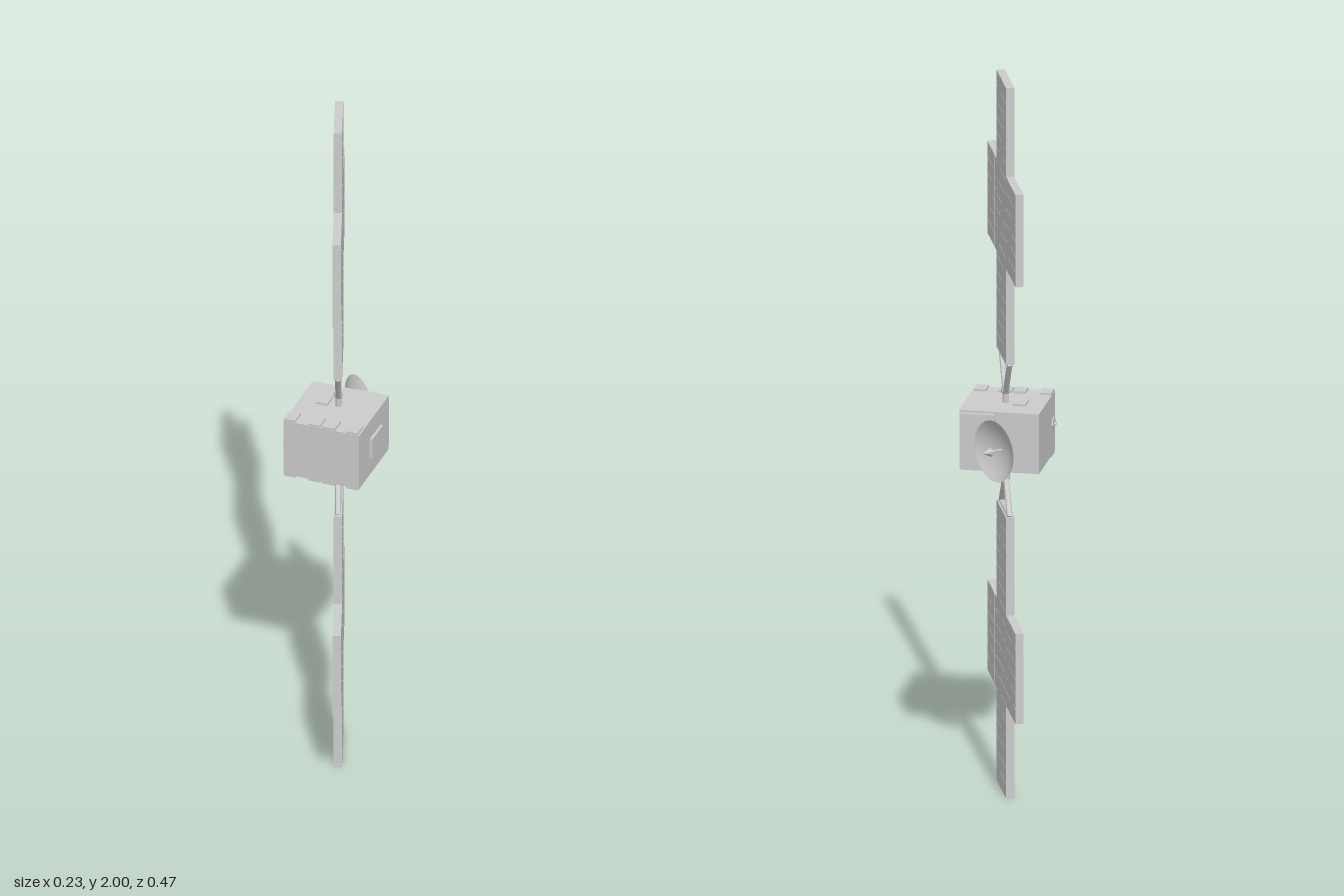
import * as THREE from 'three';
import { mergeGeometries } from 'three/addons/utils/BufferGeometryUtils.js';

const grey = new THREE.MeshStandardMaterial({ color: 0xcccccc, flatShading: true });
const smooth = new THREE.MeshStandardMaterial({ color: 0xcccccc, side: THREE.DoubleSide });

function add(parent, name, geometry, x = 0, y = 0, z = 0, material = grey) {
  const mesh = new THREE.Mesh(geometry, material);
  mesh.name = name;
  mesh.position.set(x, y, z);
  parent.add(mesh);
  return mesh;
}

// Box given by its extents along each axis
function block(parent, name, [x0, x1], [y0, y1], [z0, z1]) {
  return add(parent, name, new THREE.BoxGeometry(x1 - x0, y1 - y0, z1 - z0),
    (x0 + x1) / 2, (y0 + y1) / 2, (z0 + z1) / 2);
}

// Square bar between two points
function bar(parent, name, a, b, r) {
  const from = new THREE.Vector3(...a), to = new THREE.Vector3(...b);
  const dir = to.clone().sub(from);
  const geometry = new THREE.CylinderGeometry(r, r, dir.length(), 8);
  const mesh = add(parent, name, geometry);
  mesh.position.copy(from).add(to).multiplyScalar(0.5);
  mesh.quaternion.setFromUnitVectors(new THREE.Vector3(0, 1, 0), dir.normalize());
  return mesh;
}

// Solar array: cross-shaped slab, shallow cells on +z, and a forked yoke to the body
function solarArray(name, root, tip, wing0, wing1, apex, bodyY) {
  const group = new THREE.Group();
  group.name = name;
  const s = 0.083, w = 0.248, t = 0.022;
  const shape = new THREE.Shape([
    [-s, root], [s, root], [s, wing0], [w, wing0], [w, wing1], [s, wing1],
    [s, tip], [-s, tip], [-s, wing1], [-w, wing1], [-w, wing0], [-s, wing0],
  ].map(([x, y]) => new THREE.Vector2(x, y)));
  const slab = new THREE.ExtrudeGeometry(shape, { depth: t, bevelEnabled: false });
  add(group, 'panel', slab, 0, 0, -t / 2);

  // Solar cells laid out in a regular grid over the spine and both wings
  const cells = [];
  const fill = (x0, x1, y0, y1, nx, ny) => {
    const dx = (x1 - x0) / nx, dy = (y1 - y0) / ny;
    for (let i = 0; i < nx; i++) for (let j = 0; j < ny; j++) {
      cells.push(new THREE.BoxGeometry(dx - 0.002, Math.abs(dy) - 0.002, 0.001)
        .translate(x0 + (i + 0.5) * dx, y0 + (j + 0.5) * dy, t / 2));
    }
  };
  fill(-s, s, root, tip, 4, 18);
  for (const side of [-1, 1]) {
    const x0 = side < 0 ? -w : s;
    fill(x0, x0 + w - s, wing0, wing1, 4, 6);
  }
  add(group, 'solarCells', mergeGeometries(cells));

  // Yoke
  const r = 0.008;
  for (const side of [-1, 1]) bar(group, 'yokeArm', [side * 0.074, root, 0], [side * 0.006, apex, 0], r);
  bar(group, 'yokeCrossbar', [-0.074, root, 0], [0.074, root, 0], r);
  add(group, 'yokeJoint', new THREE.SphereGeometry(0.013, 12, 8), 0, apex, 0);
  bar(group, 'yokeStem', [0, apex, 0], [0, bodyY, 0], r);
  group.rotation.y = THREE.MathUtils.degToRad(110);
  return group;
}

export function createModel() {
  const model = new THREE.Group();
  model.name = 'satellite';

  // Body with equipment panels
  const body = new THREE.Group();
  body.name = 'body';
  model.add(body);
  block(body, 'bus', [-0.11, 0.108], [0.922, 1.09], [-0.093, 0.125]);
  block(body, 'backPlate', [0.01, 0.105], [0.928, 1.084], [-0.105, -0.093]);
  block(body, 'leftPlate', [0.108, 0.116], [0.975, 1.035], [-0.033, 0.047]);

  // Small tiles on the top and underside
  const tiles = [[-0.06, -0.027, -0.03, 0.013], [-0.109, -0.077, 0.081, 0.124],
    [-0.038, -0.005, 0.081, 0.124], [0, 0.038, 0.081, 0.124], [0.07, 0.103, 0.081, 0.124]];
  for (const [x0, x1, z0, z1] of tiles) {
    block(body, 'topTile', [x0, x1], [1.09, 1.096], [z0, z1]);
    block(body, 'bottomTile', [x0, x1], [0.916, 0.922], [z0, z1]);
  }

  // Side sensor
  bar(body, 'sensorBase', [-0.11, 1.005, 0.1], [-0.113, 1.005, 0.1], 0.02);
  bar(body, 'sensor', [-0.113, 1.005, 0.1], [-0.119, 1.005, 0.1], 0.005);

  // Dish antenna, opening toward the back left
  const dish = new THREE.Group();
  dish.name = 'dishAntenna';
  dish.position.set(0, 1, -0.16);
  dish.quaternion.setFromUnitVectors(new THREE.Vector3(0, 1, 0),
    new THREE.Vector3(0.65, 0, -0.76).normalize());
  model.add(dish);
  const profile = [];
  for (let i = 0; i <= 8; i++) {
    const u = i / 8;
    profile.push(new THREE.Vector2(0.085 * u, 0.026 * (u * u - 1)));
  }
  add(dish, 'reflector', new THREE.LatheGeometry(profile, 32), 0, 0, 0, smooth);
  bar(dish, 'feedStem', [0, -0.026, 0], [0, 0.012, 0], 0.003);
  const feed = [[0, 0.004], [0.012, 0.012], [0, 0.038]].map(p => new THREE.Vector2(...p));
  add(dish, 'feedHorn', new THREE.LatheGeometry(feed, 8), 0, 0, 0, smooth);
  bar(model, 'dishMount', [-0.029, 1, -0.09], [-0.029, 1, -0.146], 0.007);

  // Upper and lower solar arrays
  model.add(solarArray('upperSolarArray', 1.22, 2, 1.49, 1.75, 1.125, 1.085));
  model.add(solarArray('lowerSolarArray', 0.79, 0, 0.515, 0.26, 0.88, 0.93));
  return model;
}
